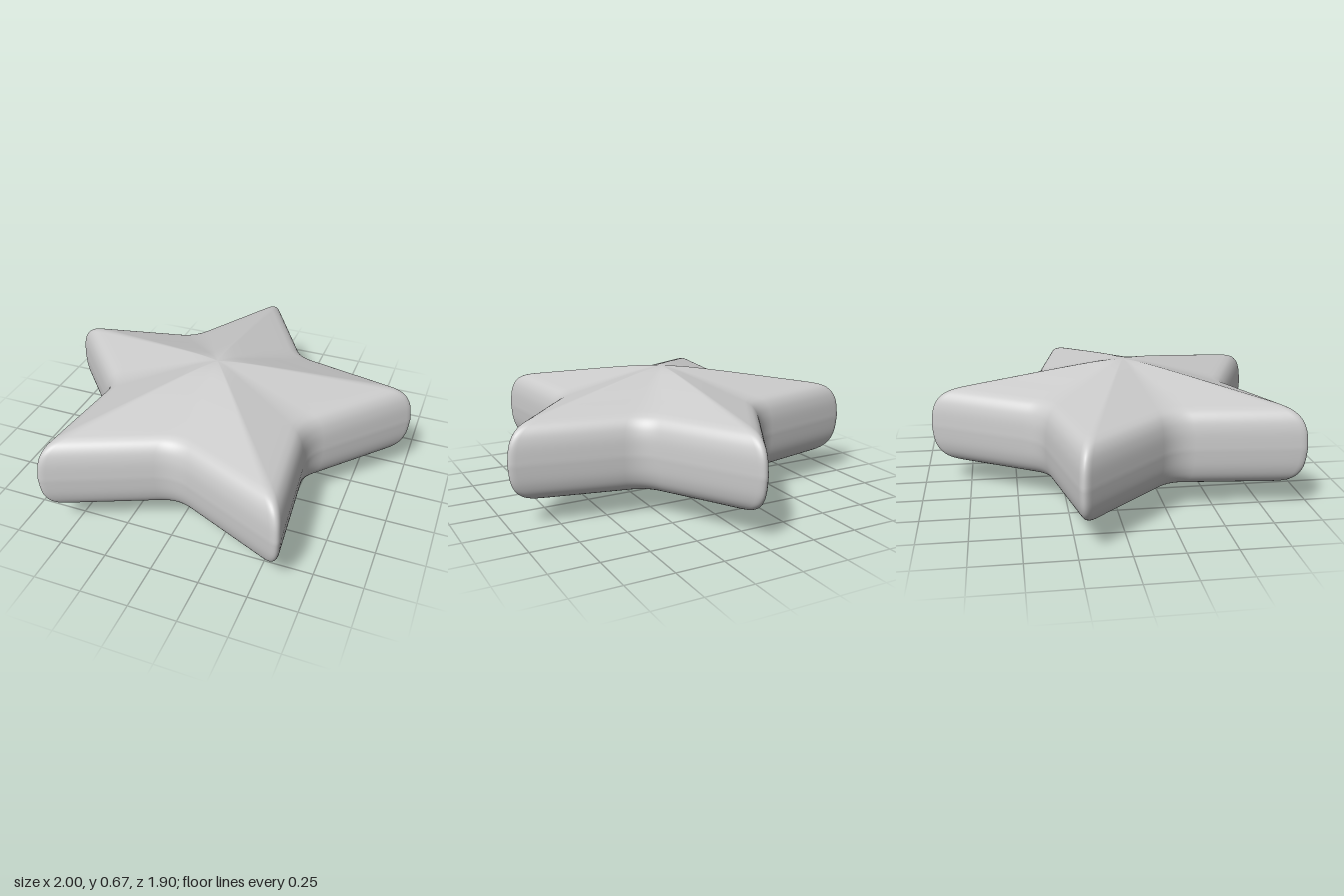
import * as THREE from 'three';

const TIP = 1.074, VALLEY = 0.592, MID = 0.335, CENTRE_Z = 0.1;

// Five-pointed outline with rounded tips and softly rounded valleys
function starOutline() {
  const corners = [];
  for (let i = 0; i < 10; i++) {
    const a = (i * Math.PI) / 5, r = i % 2 ? TIP : VALLEY;
    corners.push(new THREE.Vector2(Math.sin(a) * r, Math.cos(a) * r));
  }
  const points = [];
  corners.forEach((p, i) => {
    const prev = corners[(i + 9) % 10], next = corners[(i + 1) % 10];
    const cut = i % 2 ? 0.06 : 0.1, nextCut = i % 2 ? 0.1 : 0.06;
    const toward = (from, to, d) => to.clone().sub(from).setLength(d).add(from);
    const start = toward(p, prev, cut), end = toward(p, next, cut);
    points.push(...new THREE.QuadraticBezierCurve(start, p, end).getPoints(10));
    // Straight flank up to the next rounded corner
    const flankEnd = toward(next, p, nextCut);
    for (let k = 1; k < 8; k++) points.push(end.clone().lerp(flankEnd, k / 8));
  });
  return points;
}

// Domed upper profile: x = outline scale, y = height above the middle
function profile() {
  const upper = new THREE.SplineCurve([
    [0, 0.336], [0.06, 0.333], [0.13, 0.326], [0.22, 0.313], [0.4, 0.283], [0.6, 0.248],
    [0.8, 0.213], [0.87, 0.199], [0.92, 0.181], [0.957, 0.152], [0.98, 0.115], [0.993, 0.07], [1, 0],
  ].map(([s, y]) => new THREE.Vector2(s, y))).getPoints(48);
  const lower = upper.slice(0, -1).reverse().map((p) => new THREE.Vector2(p.x, -p.y));
  return [...upper, ...lower];
}

// Stack scaled outlines along the profile, closed by a pole at each end
function starGeometry() {
  const outline = starOutline(), rings = profile().slice(1, -1);
  const n = outline.length, position = [0, MID * 2, 0], index = [];
  for (const { x: s, y } of rings) {
    for (const p of outline) position.push(p.x * s, MID + y, p.y * s);
  }
  position.push(0, 0, 0);
  const last = position.length / 3 - 1;
  for (let j = 0; j < n; j++) {
    const k = (j + 1) % n, base = 1 + (rings.length - 1) * n;
    index.push(0, 1 + j, 1 + k);
    for (let i = 0; i < rings.length - 1; i++) {
      const a = 1 + i * n + j, b = 1 + i * n + k;
      index.push(a, a + n, b, b, a + n, b + n);
    }
    index.push(base + j, last, base + k);
  }
  const geometry = new THREE.BufferGeometry();
  geometry.setAttribute('position', new THREE.Float32BufferAttribute(position, 3));
  geometry.setIndex(index);
  geometry.computeVertexNormals();
  return geometry;
}

export function createModel() {
  const model = new THREE.Group();
  model.name = 'puffyStar';
  const star = new THREE.Mesh(starGeometry(), new THREE.MeshStandardMaterial({ color: 0xcccccc }));
  star.name = 'starBody';
  star.position.z = CENTRE_Z;
  model.add(star);
  return model;
}
